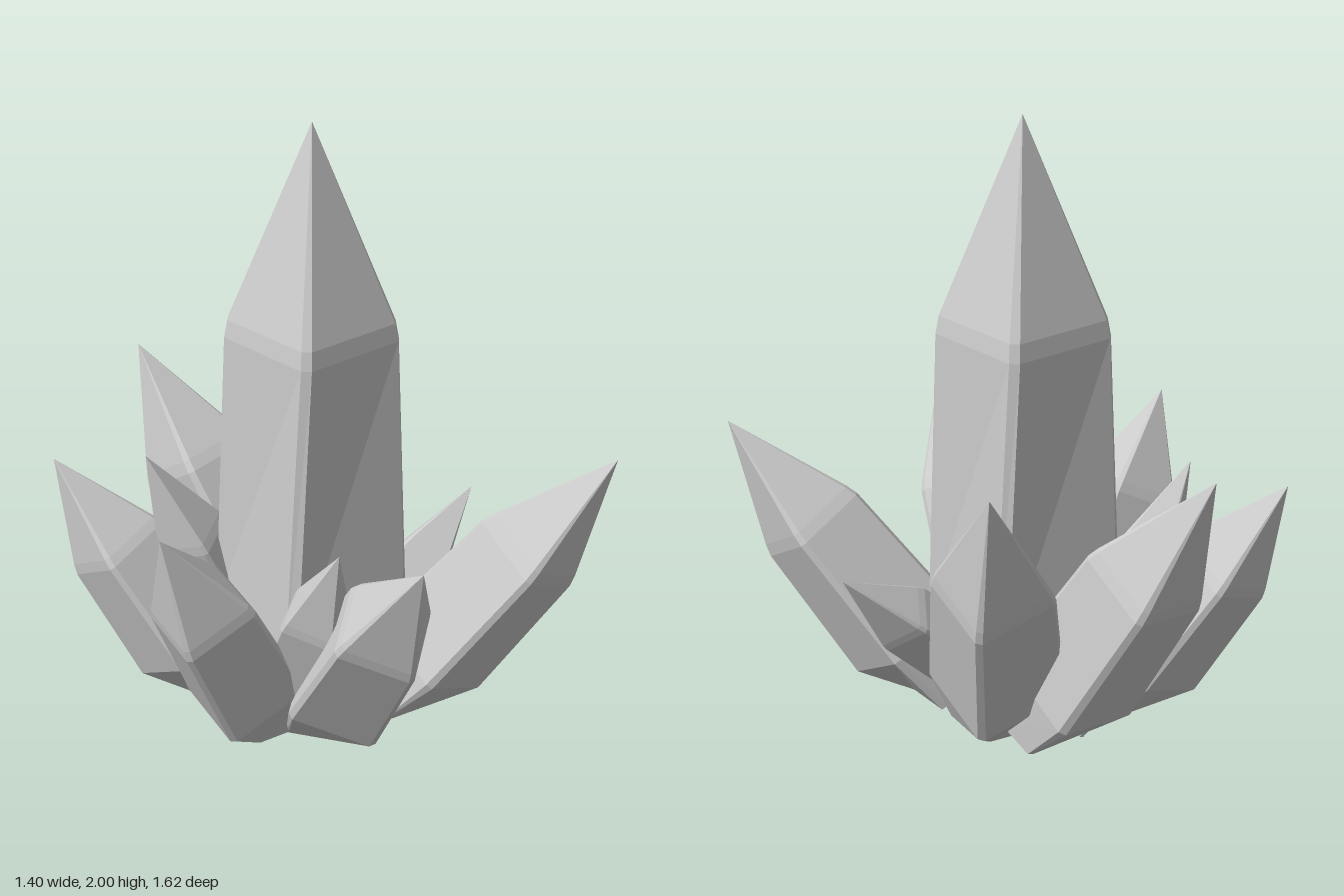
import * as THREE from 'three';

const material = new THREE.MeshStandardMaterial({ color: 0xcccccc, flatShading: true });

// Ring profile along a crystal: [fraction of length, fraction of radius, extra turn in degrees]
const SIDE_PROFILE = [[0, 0.72, 0], [0.2, 1, 0], [0.62, 0.88, 0], [0.655, 0.82, 0]];
const MAIN_PROFILE = [[0, 0.8, 0], [0.15, 1, 0], [0.645, 0.865, 8], [0.675, 0.83, 8]];

// Four-sided shard with narrow bevelled corners and a pointed tip, flattened at the ground
function crystal(name, base, tip, radius, twist = 0, profile = SIDE_PROFILE) {
  const b = new THREE.Vector3(...base);
  const axis = new THREE.Vector3(...tip).sub(b);
  const u = axis.clone().normalize();
  const out = new THREE.Vector3(axis.x, 0, axis.z);
  if (out.length() < 0.05) out.set(1, 0, 0);
  const v = out.addScaledVector(u, -out.dot(u)).normalize();
  const w = new THREE.Vector3().crossVectors(u, v);

  const positions = [];
  const index = [];
  const bevel = THREE.MathUtils.degToRad(3.5);
  for (const [t, s, turn] of profile) {
    for (let k = 0; k < 8; k++) {
      const corner = THREE.MathUtils.degToRad(twist + turn + Math.floor(k / 2) * 90);
      const a = corner + (k % 2 ? bevel : -bevel);
      const p = b.clone().addScaledVector(axis, t)
        .addScaledVector(v, Math.cos(a) * radius * s)
        .addScaledVector(w, Math.sin(a) * radius * s);
      positions.push(p.x, Math.max(0, p.y), p.z);
    }
  }
  const top = profile.length * 8;
  positions.push(...tip, ...base);

  for (let k = 0; k < 8; k++) {
    const n = (k + 1) % 8;
    for (let r = 0; r < top - 8; r += 8) {
      index.push(r + k, r + n, r + 8 + n, r + k, r + 8 + n, r + 8 + k);
    }
    index.push(top - 8 + k, top - 8 + n, top); // point
    index.push(n, k, top + 1); // underside
  }
  const indexed = new THREE.BufferGeometry();
  indexed.setAttribute('position', new THREE.Float32BufferAttribute(positions, 3));
  indexed.setIndex(index);
  const geometry = indexed.toNonIndexed();
  geometry.computeVertexNormals();
  const mesh = new THREE.Mesh(geometry, material);
  mesh.name = name;
  return mesh;
}

export function createModel() {
  const group = new THREE.Group();
  group.name = 'crystalCluster';

  // Tall central crystal
  group.add(crystal('mainCrystal', [0.05, 0, 0.01], [0.05, 2, 0.01], 0.32, 36, MAIN_PROFILE));

  // Leaning crystals around it: name, base, tip, radius, twist
  const shards = [
    ['frontLeftCrystal', [0.2, 0, 0.22], [0.67, 0.93, 0.775], 0.21, 5],
    ['frontCrystal', [-0.05, 0, 0.18], [-0.24, 0.86, 0.81], 0.2, 10],
    ['rightCrystal', [-0.2, 0, 0.07], [-0.7, 0.88, 0.15], 0.2, 22],
    ['backRightCrystal', [-0.17, 0, -0.19], [-0.51, 0.82, -0.63], 0.195, 8],
    ['backCrystal', [0.17, 0, -0.19], [0, 1.03, -0.81], 0.22, 31],
    ['backLeftCrystal', [0.22, 0, -0.06], [0.625, 1.05, -0.51], 0.22, -11],
    ['smallLeftCrystal', [0.08, 0.06, 0.1], [0.7, 0.59, 0.12], 0.13, 0],
    ['smallFrontCrystal', [-0.15, 0, 0.07], [-0.24, 0.78, 0.45], 0.14, 0],
    ['smallBackCrystal', [0.05, 0, -0.22], [-0.34, 0.87, -0.36], 0.145, 0],
  ];
  for (const shard of shards) group.add(crystal(...shard));

  return group;
}
